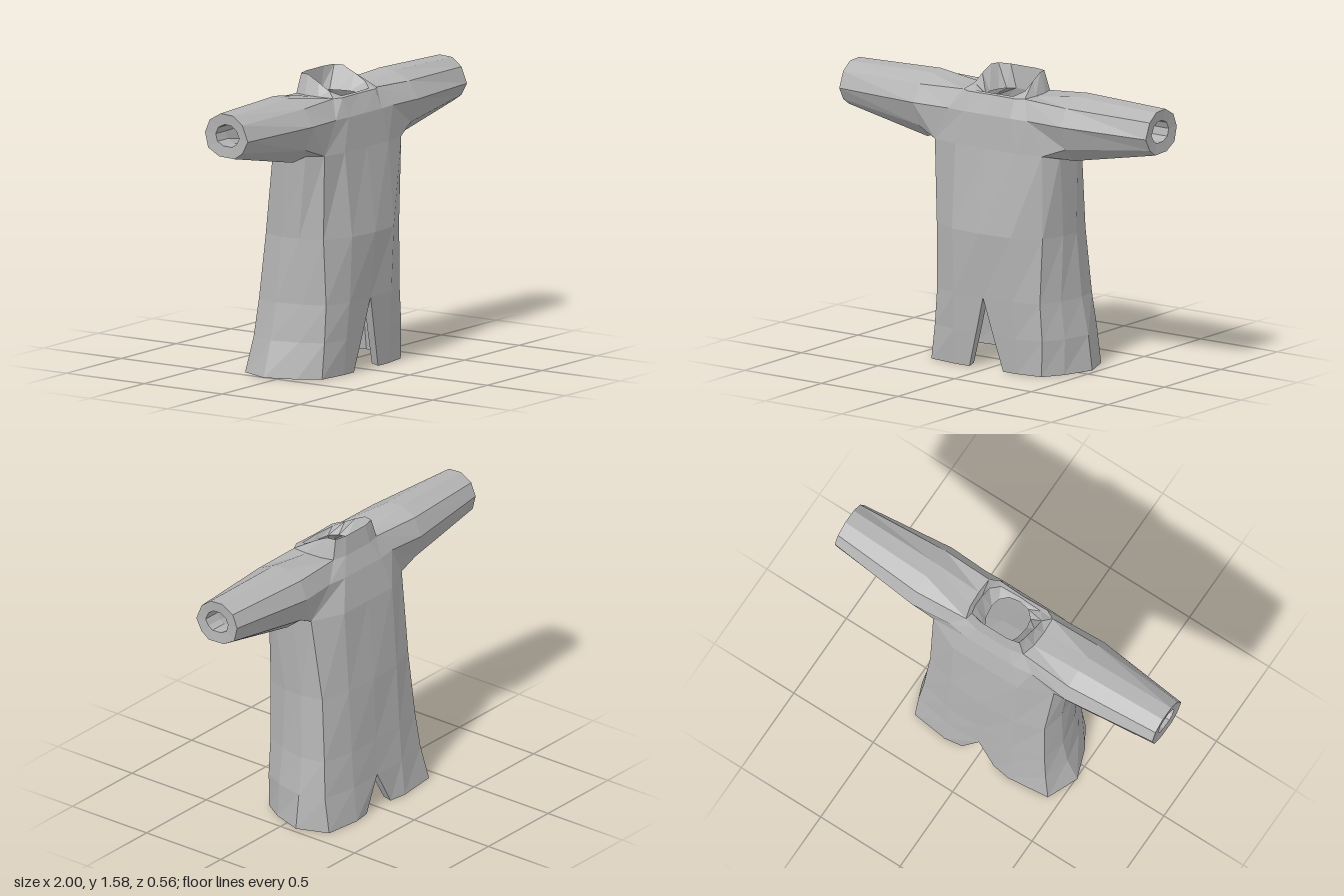
import * as THREE from 'three';

const cloth = new THREE.MeshStandardMaterial({ color: 0xb4b4b4, side: THREE.DoubleSide, flatShading: true });
cloth.name = 'grey cloth';

// Joins rows of points into a faceted skin; skip(r, c) leaves openings
function skin(rows, { flip = false, closed = false, skip = () => false } = {}) {
  const out = [];
  const n = rows[0].length;
  for (let r = 0; r < rows.length - 1; r++) {
    for (let c = 0; c < (closed ? n : n - 1); c++) {
      if (skip(r, c)) continue;
      const d = (c + 1) % n;
      const quad = [rows[r][c], rows[r][d], rows[r + 1][d], rows[r + 1][c]];
      if (flip) quad.reverse();
      for (const i of [0, 1, 2, 0, 2, 3]) out.push(...quad[i]);
    }
  }
  const g = new THREE.BufferGeometry();
  g.setAttribute('position', new THREE.Float32BufferAttribute(out, 3));
  g.computeVertexNormals();
  return g;
}

const level = (y, pts) => pts.map(([x, z]) => [x, y, z]);

// Half of the body, from front centre round the side to back centre
const hem = level(0.01, [[0.11, 0.22], [0.2, 0.22], [0.36, 0.2], [0.43, 0.09], [0.49, -0.08], [0.42, -0.25], [0.2, -0.275], [0.1, -0.26]]);
const outer = [
  hem,
  level(0.2, [[0.055, 0.235], [0.2, 0.235], [0.35, 0.2], [0.41, 0.08], [0.445, -0.08], [0.4, -0.22], [0.2, -0.255], [0, -0.25]]),
  level(0.4, [[0, 0.25], [0.19, 0.25], [0.335, 0.2], [0.385, 0.08], [0.41, -0.07], [0.38, -0.2], [0.2, -0.24], [0, -0.24]]),
  level(0.75, [[0, 0.28], [0.19, 0.265], [0.345, 0.19], [0.385, 0.06], [0.39, -0.05], [0.36, -0.17], [0.2, -0.22], [0, -0.23]]),
  level(1.2, [[0, 0.225], [0.2, 0.225], [0.35, 0.2], [0.41, 0.12], [0.42, -0.02], [0.38, -0.11], [0.2, -0.19], [0, -0.19]]),
  level(1.38, [[0, 0.215], [0.15, 0.215], [0.26, 0.21], [0.3, 0.12], [0.3, -0.04], [0.26, -0.14], [0.15, -0.155], [0, -0.155]]),
  level(1.48, [[0, 0.17], [0.15, 0.175], [0.2, 0.15], [0.205, 0.06], [0.2, -0.03], [0.18, -0.1], [0.1, -0.12], [0, -0.12]]),
];
const collar = [
  [[0, 1.485, 0.155], [0.125, 1.485, 0.15], [0.165, 1.51, 0.1], [0.165, 1.55, 0.03], [0.16, 1.585, -0.04], [0.15, 1.585, -0.09], [0.08, 1.585, -0.105], [0, 1.585, -0.105]],
  level(1.46, [[0, 0.14], [0.06, 0.13], [0.1, 0.09], [0.11, 0.04], [0.1, -0.03], [0.08, -0.07], [0.04, -0.1], [0, -0.1]]),
];
// Inner lining runs back down to the hem
const lining = outer.slice(0, 6).reverse().map((row) =>
  row.map(([x, y, z], c) => [c === 0 || c === 7 ? x : x * 0.87, y + (y < 0.1 ? 0.01 : 0), z * 0.82]));
const bodyRows = [...outer, ...collar, ...lining, hem];

// Armhole left open in shell and lining
const armhole = (r, c) => c >= 2 && c <= 4 && [4, 5, 8, 9].includes(r);

// Armhole edge: up the front, over the shoulder, down the back, under the arm
const root = [[4, 2], [5, 2], [6, 2], [6, 3], [6, 4], [6, 5], [5, 5], [4, 5], [4, 4], [4, 3]].map(([r, c]) => outer[r][c]);
const ring = (x, pts) => pts.map(([y, z]) => [x, y, z]);
const elbow = ring(0.48, [[1.25, 0.17], [1.38, 0.22], [1.47, 0.16], [1.515, 0.06], [1.52, -0.03], [1.48, -0.12], [1.38, -0.16], [1.25, -0.12], [1.18, -0.03], [1.175, 0.09]]);
const cuff = ring(1, [[1.31, 0.13], [1.375, 0.165], [1.46, 0.13], [1.505, 0.07], [1.51, -0.01], [1.47, -0.08], [1.4, -0.11], [1.32, -0.09], [1.28, -0.02], [1.275, 0.08]]);
const shrink = (row, x, sy, sz) => row.map(([, y, z]) => [x, 1.395 + (y - 1.395) * sy, 0.035 + (z - 0.035) * sz]);
const sleeveRows = [root, elbow, cuff, shrink(cuff, 0.995, 0.5, 0.55), shrink(cuff, 0.9, 0.5, 0.55), shrink(elbow, 0.5, 0.7, 0.75), shrink(elbow, 0.36, 0.7, 0.75)];

function createModel() {
  const group = new THREE.Group();
  group.name = 'tunic';
  const add = (name, geometry) => {
    const mesh = new THREE.Mesh(geometry, cloth);
    mesh.name = name;
    group.add(mesh);
  };
  for (const [side, s, flare] of [['left', 1, 0.96], ['right', -1, 1.035]]) {
    // The hem flares a little wider on the right
    const place = (rows) => rows.map((row) => row.map(([x, y, z]) =>
      [s * x * (y < 0.1 && x > 0.3 ? flare : 1), y, z]));
    const flip = s < 0;
    add(side + 'Body', skin(place(bodyRows), { flip, skip: armhole }));
    add(side + 'Sleeve', skin(place(sleeveRows), { flip: !flip, closed: true }));
    // Thickness of the cloth along the front and back slits
    for (const [name, c, top] of [['FrontSlitEdge', 0, 2], ['BackSlitEdge', 7, 1]]) {
      const edge = [];
      for (let r = 0; r <= top; r++) edge.push([lining[5 - r][c], outer[r][c]]);
      add(side + name, skin(place(edge), { flip: c === 7 ? !flip : flip }));
    }
  }
  return group;
}

export { createModel };
